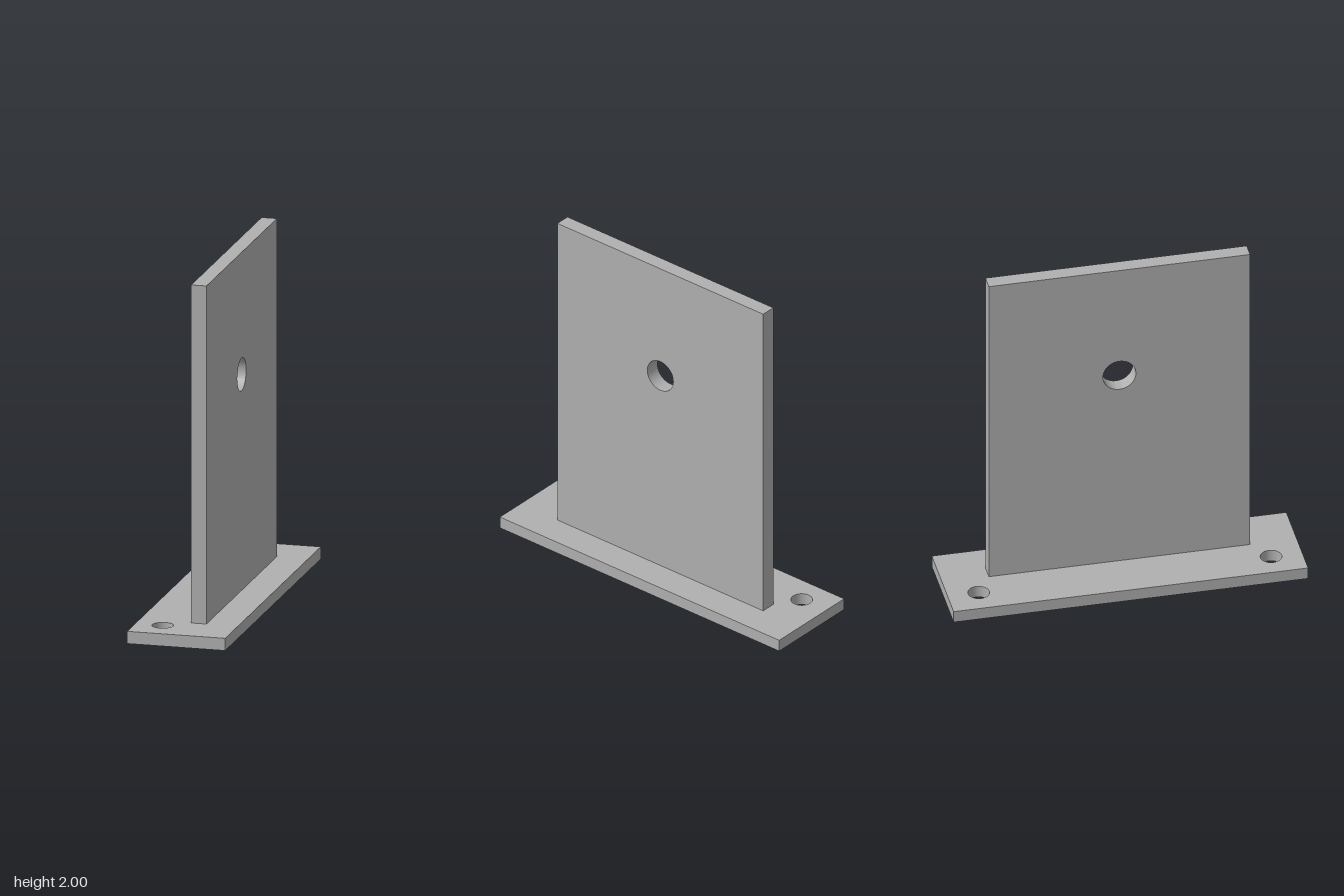
import * as THREE from 'three';
import { toCreasedNormals } from 'three/addons/utils/BufferGeometryUtils.js';

// Rectangular slab with round through-holes, given as [x, y, radius]
function drilledSlab(x0, y0, x1, y1, depth, holes) {
  const shape = new THREE.Shape();
  shape.moveTo(x0, y0).lineTo(x1, y0).lineTo(x1, y1).lineTo(x0, y1).closePath();
  for (const [x, y, r] of holes) {
    shape.holes.push(new THREE.Path().absarc(x, y, r, 0, Math.PI * 2, true));
  }
  const geometry = new THREE.ExtrudeGeometry(shape, { depth, bevelEnabled: false, curveSegments: 32 });
  return toCreasedNormals(geometry, Math.PI / 6);
}

export function createModel() {
  const model = new THREE.Group();
  model.name = 'mountingBracket';
  const metal = new THREE.MeshStandardMaterial({ color: 0xb0b0b0 });
  metal.name = 'grey metal';

  const baseHeight = 0.07;

  // Flat foot with two bolt holes
  const baseGeometry = drilledSlab(-0.28, -1, 0.28, 1, baseHeight, [
    [-0.125, 0.825, 0.06],
    [-0.125, -0.825, 0.06],
  ]);
  baseGeometry.rotateX(-Math.PI / 2);
  const base = new THREE.Mesh(baseGeometry, metal);
  base.name = 'basePlate';
  model.add(base);

  // Upright plate with one central hole, offset to one side of the foot
  const uprightGeometry = drilledSlab(-0.737, baseHeight, 0.737, 2, 0.087, [[0, 1.303, 0.093]]);
  uprightGeometry.rotateY(Math.PI / 2);
  const upright = new THREE.Mesh(uprightGeometry, metal);
  upright.name = 'uprightPlate';
  upright.position.x = 0.014;
  model.add(upright);

  return model;
}
